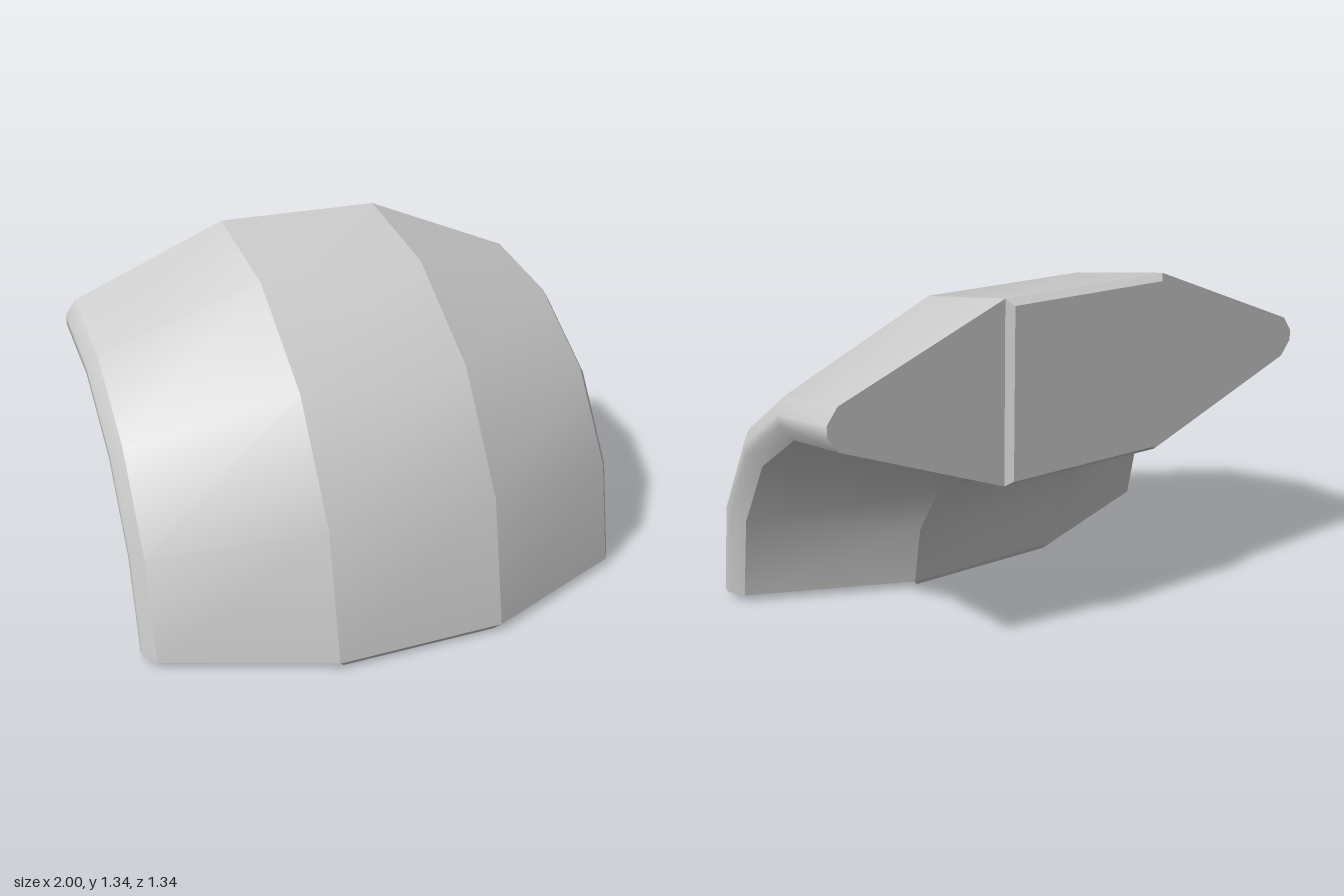
import * as THREE from 'three';

const BEND = 0.98;   // radius of the bend, measured to the section centre
const AXIS_Y = 0.03, AXIS_Z = -0.645;
const STEPS = 4;     // straight segments in the quarter turn

// Section strips (x, outward offset); shading is creased between strips
const HALF = 0.335;
const rim = [[0.96, 0.077], [1, 0.02], [1, -0.02], [0.96, -0.077]];
const mirrored = rim.map(([x, p]) => [-x, -p]);
const strips = {
  outerPanel: [[-HALF, HALF], [HALF, HALF]],
  leftOuterFlank: [[HALF, HALF], rim[0]],
  leftRim: rim,
  leftInnerFlank: [rim[3], [HALF, -HALF]],
  innerPanel: [[HALF, -HALF], [-HALF, -HALF]],
  rightInnerFlank: [[-HALF, -HALF], mirrored[0]],
  rightRim: mirrored,
  rightOuterFlank: [mirrored[3], [-HALF, HALF]],
};

// Sweeps one strip of the section through the quarter turn
function sweep(points) {
  const positions = [], index = [], n = points.length;
  for (let j = 0; j <= STEPS; j++) {
    const a = (j / STEPS) * Math.PI / 2;
    for (const [x, p] of points) {
      const r = BEND + p;
      positions.push(x, AXIS_Y + r * Math.sin(a), AXIS_Z + r * Math.cos(a));
    }
  }
  for (let j = 0; j < STEPS; j++) {
    for (let i = 0; i < n - 1; i++) {
      const a = j * n + i, b = a + 1, c = a + n, d = c + 1;
      index.push(a, b, d, a, d, c);
    }
  }
  const geometry = new THREE.BufferGeometry();
  geometry.setAttribute('position', new THREE.Float32BufferAttribute(positions, 3));
  geometry.setIndex(index);
  geometry.computeVertexNormals();
  return geometry;
}

// Flat end of the section with a raised, chamfered square plate facing +z
function makeEnd(name, smooth, flat) {
  const end = new THREE.Group();
  end.name = name;
  const outline = Object.values(strips).flatMap((s) => s.slice(0, -1));
  const shape = new THREE.Shape(outline.map(([x, p]) => new THREE.Vector2(x, p)));
  const cap = new THREE.Mesh(new THREE.ShapeGeometry(shape), smooth);
  cap.name = 'endCap';

  const depth = 0.027;
  const plateGeometry = new THREE.CylinderGeometry(
    (HALF - 0.022) * Math.SQRT2, HALF * Math.SQRT2, depth, 4);
  plateGeometry.rotateY(Math.PI / 4).rotateX(Math.PI / 2).translate(0, 0, depth / 2);
  const plate = new THREE.Mesh(plateGeometry, flat);
  plate.name = 'endPlate';
  end.add(cap, plate);
  return end;
}

export function createModel() {
  const model = new THREE.Group();
  model.name = 'elbow';
  const smooth = new THREE.MeshStandardMaterial({ color: 0xcccccc });
  const flat = new THREE.MeshStandardMaterial({ color: 0xcccccc, flatShading: true });

  // Curved body
  const body = new THREE.Group();
  body.name = 'body';
  for (const [name, points] of Object.entries(strips)) {
    const mesh = new THREE.Mesh(sweep(points), smooth);
    mesh.name = name;
    body.add(mesh);
  }

  // Ends facing down and back
  const bottom = makeEnd('bottomEnd', smooth, flat);
  bottom.rotation.x = Math.PI / 2;
  bottom.position.set(0, AXIS_Y, AXIS_Z + BEND);
  const back = makeEnd('backEnd', smooth, flat);
  back.rotation.y = Math.PI;
  back.position.set(0, AXIS_Y + BEND, AXIS_Z);

  model.add(body, bottom, back);
  return model;
}
